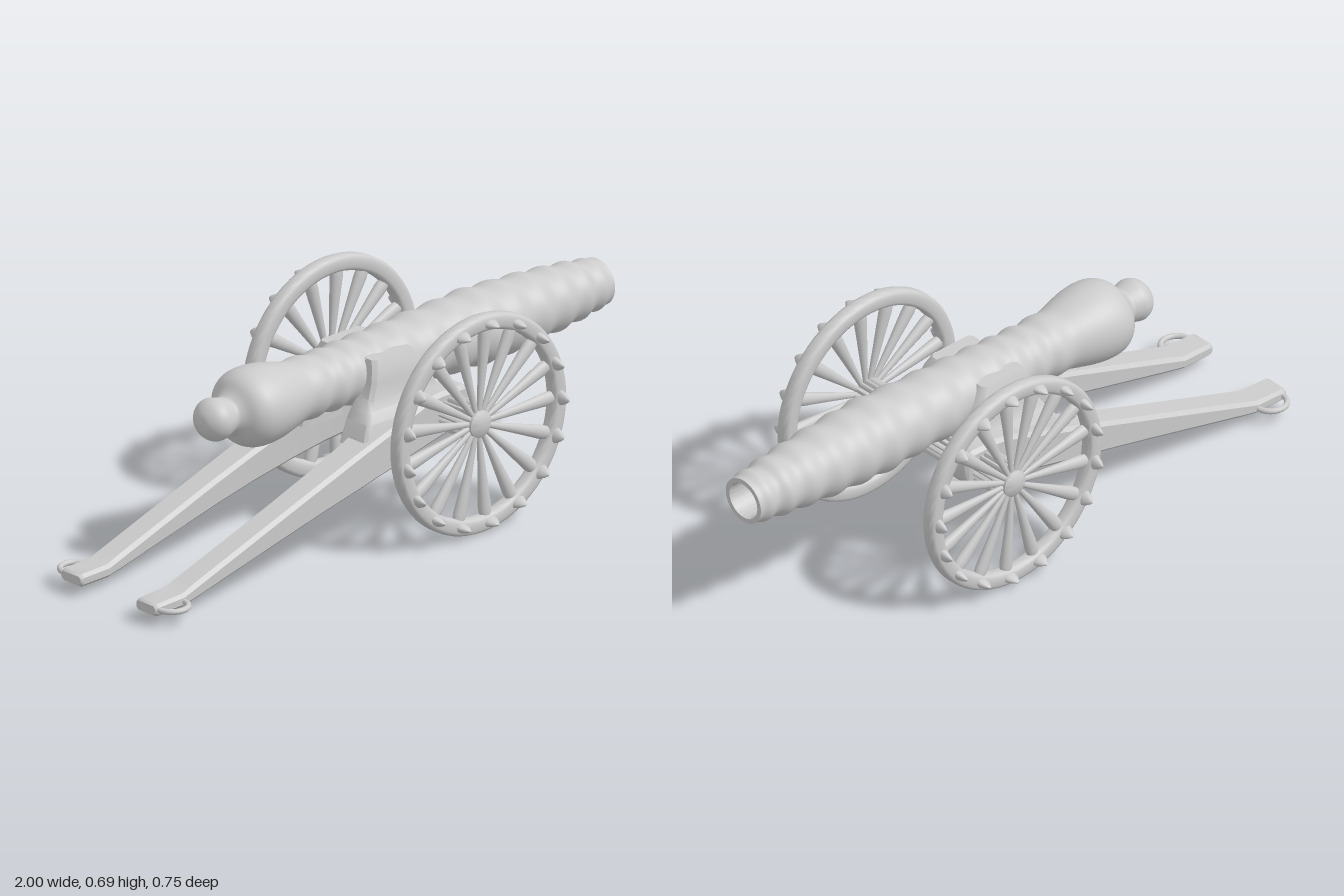
import * as THREE from 'three';
import { toCreasedNormals } from 'three/addons/utils/BufferGeometryUtils.js';

const material = new THREE.MeshStandardMaterial({ color: 0xcccccc });
const AXLE_X = 0.21, AXLE_Y = 0.345, BORE_Y = 0.483, SPOKES = 17;

function add(parent, name, geometry) {
  const mesh = new THREE.Mesh(geometry, material);
  mesh.name = name;
  parent.add(mesh);
  return mesh;
}

// Skin a row of equal-length point loops and cap both ends
function loft(loops, flip) {
  const out = [];
  const tri = (a, b, c) => (flip ? [a, c, b] : [a, b, c]).forEach((p) => out.push(...p));
  const n = loops[0].length, last = loops[loops.length - 1];
  for (let k = 0; k + 1 < loops.length; k++) {
    const a = loops[k], b = loops[k + 1];
    for (let i = 0; i < n; i++) {
      const j = (i + 1) % n;
      tri(a[i], b[i], b[j]);
      tri(a[i], b[j], a[j]);
    }
  }
  for (let i = 1; i + 1 < n; i++) {
    tri(loops[0][0], loops[0][i], loops[0][i + 1]);
    tri(last[0], last[i + 1], last[i]);
  }
  const g = new THREE.BufferGeometry();
  g.setAttribute('position', new THREE.Float32BufferAttribute(out, 3));
  return toCreasedNormals(g, 0.7);
}

// Counter-clockwise rectangle with cut corners
function cutRect(u0, u1, v0, v1, c) {
  return [[u0 + c, v0], [u1 - c, v0], [u1, v0 + c], [u1, v1 - c],
    [u1 - c, v1], [u0 + c, v1], [u0, v1 - c], [u0, v0 + c]];
}

const lathe = (points, segments) =>
  new THREE.LatheGeometry(points.map(([r, y]) => new THREE.Vector2(r, y)), segments);

function makeBarrel() {
  const barrel = new THREE.Group();
  barrel.name = 'barrel';
  // Knob and swollen breech as [x, radius]
  const profile = [[-0.625, 0], [-0.618, 0.03], [-0.597, 0.056], [-0.57, 0.066], [-0.54, 0.06],
    [-0.522, 0.056], [-0.505, 0.068], [-0.48, 0.1], [-0.45, 0.117], [-0.41, 0.122],
    [-0.36, 0.118], [-0.3, 0.105], [-0.25, 0.094]];
  // Rounded rings along the tube
  const rings = [[-0.2, 0.097], [-0.12, 0.097], [-0.04, 0.099], [0.04, 0.102], [0.14, 0.106],
    [0.25, 0.11], [0.37, 0.114], [0.485, 0.119], [0.59, 0.115], [0.7, 0.109], [0.8, 0.101],
    [0.89, 0.092], [0.96, 0.082]];
  rings.forEach(([x, r], i) => {
    profile.push([x, r]);
    const next = rings[i + 1];
    if (next) profile.push([(x + next[0]) / 2, (r + next[1]) / 2 - 0.009]);
  });
  profile.push([0.985, 0.074], [1, 0.073]);
  const curve = new THREE.CatmullRomCurve3(profile.map(([x, r]) => new THREE.Vector3(r, x, 0)), false, 'centripetal');
  const outer = curve.getPoints(200).map((p) => [Math.max(p.x, 0), p.y]);
  add(barrel, 'barrelTube', lathe(outer, 64).rotateZ(-Math.PI / 2));
  // Muzzle lip and hollow bore
  const bore = lathe([[0.073, 1], [0.058, 1], [0.055, 0.99], [0.055, 0.7], [0, 0.7]], 64);
  add(barrel, 'muzzleBore', toCreasedNormals(bore.rotateZ(-Math.PI / 2), 0.6));
  barrel.position.y = BORE_Y;
  barrel.scale.z = 1.05;
  return barrel;
}

// Wheel around the z axis with its studs on +z
function makeWheel(name) {
  const wheel = new THREE.Group();
  wheel.name = name;
  const h = 0.0235, b = 0.013, R = 0.345, r = 0.294, d = 0.004;
  const rim = lathe([[r, -h + b], [r + d, -h + d], [r + b, -h], [R - b, -h], [R - d, -h + d], [R, -h + b],
    [R, h - b], [R - d, h - d], [R - b, h], [r + b, h], [r + d, h - d], [r, h - b], [r, -h + b]], 72);
  add(wheel, 'rim', toCreasedNormals(rim.rotateX(Math.PI / 2), 0.9));
  const hub = lathe([[0, -h], [0.042, -h], [0.042, 0.012], [0.03, 0.02], [0, h]], 34);
  add(wheel, 'hub', toCreasedNormals(hub.rotateX(Math.PI / 2), 0.6));
  const spokeShape = [[0.007, 0.02], [0.011, 0.1], [0.017, 0.2], [0.022, 0.275], [0.02, 0.3]];
  const studShape = [[0.024, 0], [0.022, 0.008], [0.015, 0.021], [0.006, 0.033], [0, 0.036]];
  for (let i = 0; i < SPOKES; i++) {
    const arm = new THREE.Group();
    arm.name = 'spokeAndStud';
    arm.rotation.z = (i / SPOKES) * Math.PI * 2 - Math.PI / 2;
    add(arm, 'spoke', lathe(spokeShape, 14)).scale.z = 0.8;
    const stud = add(arm, 'stud', lathe(studShape, 14).rotateX(Math.PI / 2));
    stud.scale.y = 0.62;
    stud.position.set(0, 0.317, h - 0.001);
    wheel.add(arm);
  }
  return wheel;
}

// Fluted axle made by one scalloped outline
function makeAxle() {
  const shape = new THREE.Shape();
  const steps = SPOKES * 8;
  for (let i = 0; i < steps; i++) {
    const a = (i / steps) * Math.PI * 2;
    const r = 0.047 + 0.011 * Math.abs(Math.cos((a * SPOKES) / 2));
    if (i) shape.lineTo(r * Math.cos(a), r * Math.sin(a));
    else shape.moveTo(r, 0);
  }
  const g = new THREE.ExtrudeGeometry(shape, { depth: 0.63, bevelEnabled: false });
  return toCreasedNormals(g.translate(AXLE_X, AXLE_Y, -0.315), 0.5);
}

// Trail beam sections: x, bottom, top, inner z, outer z
const BEAM = [[-1, 0.037, 0.064, 0.12, 0.2], [-0.99, 0.03, 0.07, 0.115, 0.206], [-0.885, 0.032, 0.074, 0.113, 0.207],
  [-0.83, 0.043, 0.094, 0.113, 0.207], [-0.45, 0.135, 0.222, 0.113, 0.207], [-0.3, 0.17, 0.272, 0.109, 0.207],
  [-0.15, 0.203, 0.322, 0.1, 0.207], [-0.03, 0.231, 0.36, 0.084, 0.207], [0.06, 0.252, 0.392, 0.062, 0.207],
  [0.13, 0.268, 0.415, 0.035, 0.207], [0.17, 0.277, 0.42, 0.09, 0.207], [0.21, 0.286, 0.42, 0.117, 0.207],
  [0.26, 0.298, 0.42, 0.122, 0.207], [0.28, 0.308, 0.41, 0.125, 0.204], [0.29, 0.325, 0.39, 0.132, 0.196]];

// Cheek sections: y, rear x, front x, outer z
const CHEEK = [[0.31, -0.13, 0.24, 0.19], [0.38, -0.1, 0.235, 0.175], [0.41, -0.08, 0.225, 0.155],
  [0.44, -0.06, 0.205, 0.142], [0.485, -0.045, 0.18, 0.139], [0.52, -0.035, 0.16, 0.131], [0.55, -0.025, 0.14, 0.119]];

function makeTrail(s, name) {
  const trail = new THREE.Group();
  trail.name = name;
  const beam = BEAM.map(([x, y0, y1, z0, z1]) =>
    cutRect(z0, z1, y0, y1, Math.min(0.012, (y1 - y0) / 4)).map(([z, y]) => [x, y, s * z]));
  add(trail, 'beam', loft(beam, s < 0));
  const cheek = CHEEK.map(([y, x0, x1, z]) => cutRect(x0, x1, 0.07, z, 0.012).map(([x, w]) => [x, y, s * w]));
  add(trail, 'cheek', loft(cheek, s < 0));
  // Half-ring handle on the outer side of the tail
  const handle = add(trail, 'handle', new THREE.TorusGeometry(0.05, 0.009, 12, 32, Math.PI));
  handle.rotation.x = s * Math.PI / 2;
  handle.position.set(-0.935, 0.051, s * 0.203);
  return trail;
}

export function createModel() {
  const model = new THREE.Group();
  model.name = 'fieldCannon';
  model.add(makeBarrel());
  add(model, 'axle', makeAxle());
  for (const s of [1, -1]) {
    model.add(makeTrail(s, s > 0 ? 'frontTrail' : 'backTrail'));
    const wheel = makeWheel(s > 0 ? 'frontWheel' : 'backWheel');
    wheel.position.set(AXLE_X, AXLE_Y, s * 0.318);
    if (s < 0) wheel.rotation.x = Math.PI;
    model.add(wheel);
  }
  return model;
}
